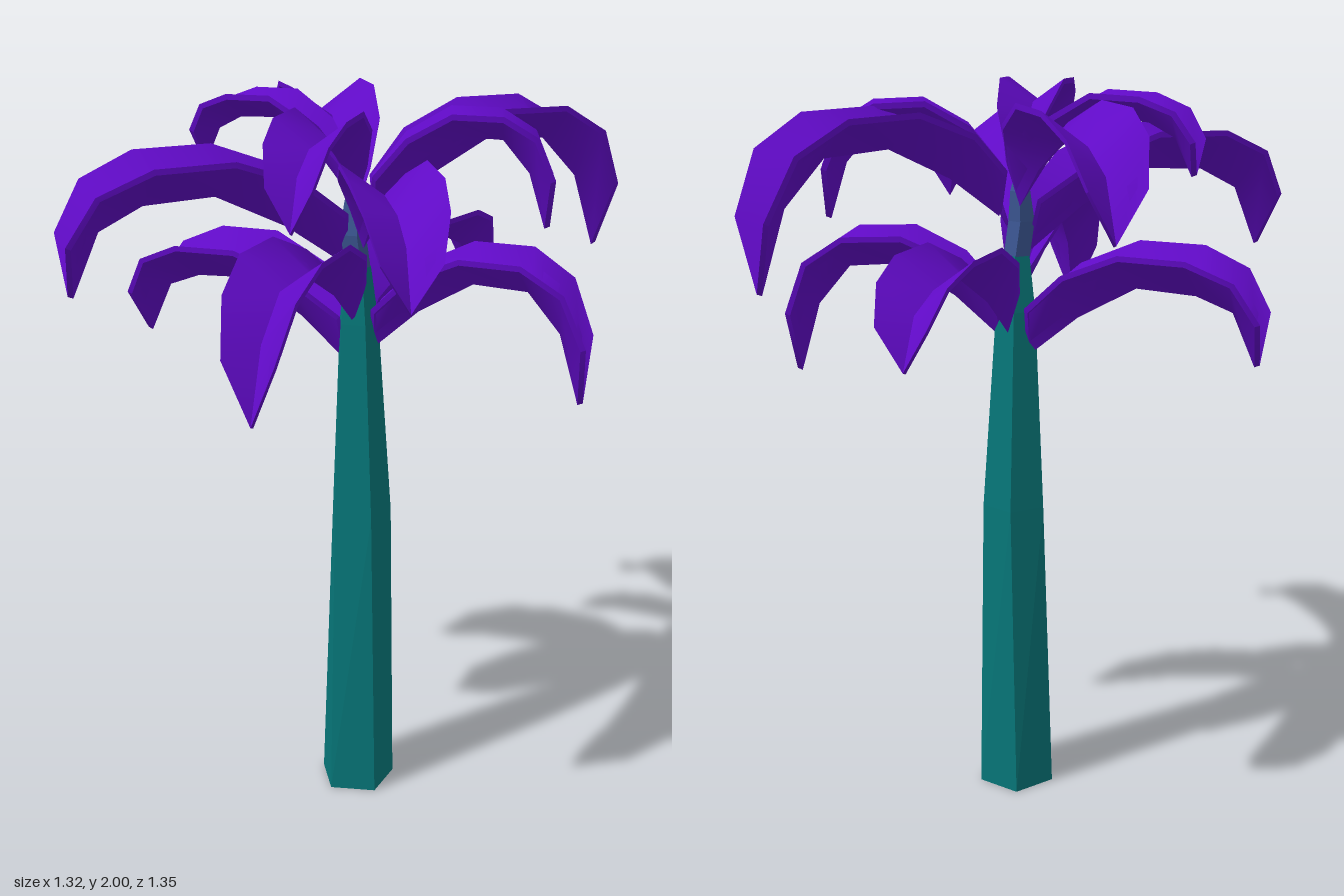
import * as THREE from 'three';

const frondPurple = new THREE.MeshStandardMaterial({ color: 0x600ac6, side: THREE.DoubleSide });
const trunkTeal = new THREE.MeshStandardMaterial({ color: 0x067678, side: THREE.DoubleSide });
const shootBlue = new THREE.MeshStandardMaterial({ color: 0x3a5590, side: THREE.DoubleSide });
const CENTRE = { x: 0.03, z: -0.02 };

// Faceted, open-ended five-sided stem through rings of [y, centreX, centreZ, radius, turn in degrees]
function stem(name, rings, material) {
  const n = rings.length - 1;
  let g = new THREE.CylinderGeometry(1, 1, n, 5, n, true);
  const p = g.attributes.position;
  const v = new THREE.Vector3(), up = new THREE.Vector3(0, 1, 0);
  for (let i = 0; i < p.count; i++) {
    const [y, cx, cz, r, turn] = rings[Math.round(p.getY(i) + n / 2)];
    v.fromBufferAttribute(p, i).applyAxisAngle(up, THREE.MathUtils.degToRad(turn));
    p.setXYZ(i, cx + v.x * r, y, cz + v.z * r);
  }
  g = g.toNonIndexed();
  g.computeVertexNormals();
  const mesh = new THREE.Mesh(g, material);
  mesh.name = name;
  return mesh;
}

// Arched gutter-shaped leaf along +z: two halves rise from a low midrib
function frondGeometry(reach, peak, drop, size) {
  // [edge distance, edge height, rib distance, rib height, half width, thickness angle]
  const sections = [
    [0.06, -0.17, 0.05, -0.17 - 0.1 * size, 0.035, -0.7],
    [0.23, -0.065, 0.25, -0.065 - 0.095 * size, 0.084, -0.45],
    [0.46, 0, 0.49, -0.075 * size, 0.105, -0.1],
    [0.72, -0.005, 0.73, -0.005 - 0.08 * size, 0.109, 0.2],
    [0.9, -0.2 * drop, 0.885, -0.5 * drop, 0.096, 0.8],
    [0.995, -0.57 * drop, 0.98, -drop, 0.07, 1.2],
  ];
  const top = { L: [], M: [], R: [] }, low = { L: [], M: [], R: [] };
  for (const [et, ey, rt, ry, w, a] of sections) {
    const pts = {
      L: [-w * size, peak + ey, et * reach],
      M: [0, peak + ry, rt * reach],
      R: [w * size, peak + ey, et * reach],
    };
    for (const k in pts) {
      const [x, y, z] = pts[k];
      top[k].push([x, y, z]);
      low[k].push([x, y - 0.015 * Math.cos(a), z - 0.015 * Math.sin(a)]);
    }
  }
  const pos = [], index = [];
  // Each strip keeps its own vertices, so creases between strips stay sharp
  const strip = (a, b) => {
    const s = pos.length / 3;
    a.forEach((v, i) => pos.push(...v, ...b[i]));
    for (let i = 0; i < a.length - 1; i++) {
      const q = s + i * 2;
      index.push(q, q + 2, q + 1, q + 1, q + 2, q + 3);
    }
  };
  strip(top.M, top.R);
  strip(top.L, top.M);
  strip(low.R, low.M);
  strip(low.M, low.L);
  strip(top.R, low.R);
  strip(low.L, top.L);
  const across = (set, keys, i) => keys.map((k) => set[k][i]);
  strip(across(top, ['R', 'M', 'L'], 5), across(low, ['R', 'M', 'L'], 5));
  strip(across(top, ['L', 'M', 'R'], 0), across(low, ['L', 'M', 'R'], 0));
  const g = new THREE.BufferGeometry();
  g.setAttribute('position', new THREE.Float32BufferAttribute(pos, 3));
  g.setIndex(index);
  g.computeVertexNormals();
  return g;
}

export function createModel() {
  const model = new THREE.Group();
  model.name = 'palmTree';

  model.add(stem('trunk', [
    [0, 0.03, 0, 0.109, 45],
    [0.85, 0.032, -0.012, 0.088, 38],
    [1.4, 0.026, -0.008, 0.056, 38],
    [1.55, 0.025, -0.005, 0.037, 38],
  ], trunkTeal));
  model.add(stem('centreShoot', [
    [1.54, 0.025, -0.005, 0.037, 38],
    [1.64, 0.012, 0.002, 0.037, 38],
    [1.72, 0.014, -0.008, 0.028, 38],
    [1.81, 0.015, 0.005, 0.003, 38],
  ], shootBlue));

  // Fronds by tier: [end x, end z, peak height, drop to tip, size]
  const tiers = {
    lowerFrond: [
      [0.195, -0.665, 1.625, 0.25, 0.97],
      [-0.645, -0.12, 1.585, 0.29, 1.22],
      [0.65, -0.03, 1.61, 0.39, 1],
      [-0.05, 0.645, 1.685, 0.375, 1],
    ],
    middleFrond: [
      [0.585, -0.555, 1.95, 0.42, 1.1],
      [-0.305, -0.585, 1.975, 0.3, 1.08],
      [-0.62, 0.435, 1.87, 0.34, 1.28],
      [0.345, 0.645, 1.89, 0.27, 1.02],
    ],
    upperFrond: [
      [-0.465, -0.135, 1.985, 0.2, 0.68],
      [0.52, -0.14, 1.96, 0.3, 0.7],
      [0.005, 0.495, 1.995, 0.25, 0.85],
    ],
  };
  for (const [name, list] of Object.entries(tiers)) {
    list.forEach(([x, z, peak, drop, size], i) => {
      const dx = x - CENTRE.x, dz = z - CENTRE.z;
      const mesh = new THREE.Mesh(frondGeometry(Math.hypot(dx, dz), peak, drop, size), frondPurple);
      mesh.name = name + (i + 1);
      mesh.position.set(CENTRE.x, 0, CENTRE.z);
      mesh.rotation.y = Math.atan2(dx, dz);
      model.add(mesh);
    });
  }
  return model;
}
